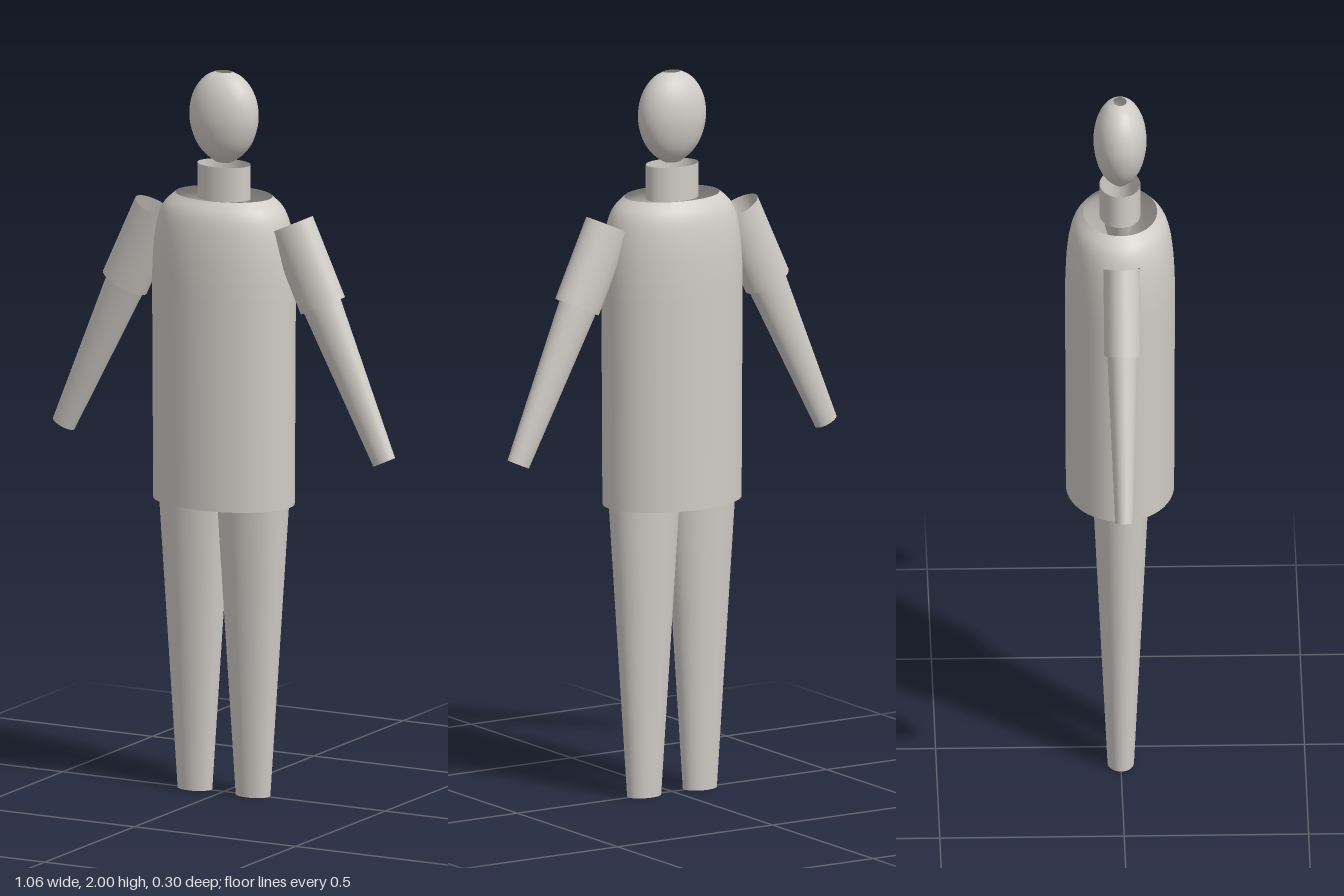
import * as THREE from 'three';

const SEGMENTS = 48;
const DEPTH = 0.72; // every round section is flattened front to back

export function createModel() {
  const model = new THREE.Group();
  model.name = 'figure';
  const clay = new THREE.MeshStandardMaterial({ color: 0xd0ccc7, side: THREE.DoubleSide });
  clay.name = 'warm grey';

  const add = (name, geometry) => {
    const mesh = new THREE.Mesh(geometry, clay);
    mesh.name = name;
    model.add(mesh);
    return mesh;
  };

  // Open shell turned from a smooth [radius, height] profile, bottom to top
  const shell = (name, profile, divisions) => {
    const curve = new THREE.SplineCurve(profile.map(([r, y]) => new THREE.Vector2(r, y)));
    const geometry = new THREE.LatheGeometry(curve.getPoints(divisions), SEGMENTS);
    return add(name, geometry.scale(1, 1, DEPTH));
  };

  // Open tapered tube between two points of the x-y plane
  const tube = (name, [x0, y0], r0, [x1, y1], r1) => {
    const dx = x0 - x1, dy = y0 - y1;
    const geometry = new THREE.CylinderGeometry(r0, r1, Math.hypot(dx, dy), SEGMENTS, 1, true);
    geometry.scale(1, 1, DEPTH);
    geometry.rotateZ(-Math.atan2(dx, dy));
    geometry.translate((x0 + x1) / 2, (y0 + y1) / 2, 0);
    return add(name, geometry);
  };

  // Egg-shaped head, open at both small ends
  shell('head', [
    [0.024, 1.75], [0.055, 1.772], [0.078, 1.80], [0.093, 1.835], [0.1, 1.876],
    [0.095, 1.92], [0.079, 1.957], [0.054, 1.985], [0.025, 2.0],
  ], 40);

  tube('neck', [0, 1.745], 0.077, [0, 1.65], 0.077);

  // Straight tunic and the rounded shoulders above it
  tube('tunic', [0, 1.4], 0.207, [0, 0.81], 0.204);
  shell('shoulders', [
    [0.207, 1.4], [0.206, 1.46], [0.201, 1.53], [0.19, 1.59], [0.172, 1.63], [0.14, 1.66],
  ], 24);

  // Mirrored limbs
  for (const [side, s] of [['left', 1], ['right', -1]]) {
    tube(side + 'Sleeve', [s * 0.207, 1.597], 0.069, [s * 0.307, 1.382], 0.069);
    tube(side + 'Forearm', [s * 0.299, 1.394], 0.058, [s * 0.497, 0.968], 0.034);
    tube(side + 'Leg', [s * 0.09, 0.95], 0.113, [s * 0.09, 0], 0.05);
  }
  return model;
}
